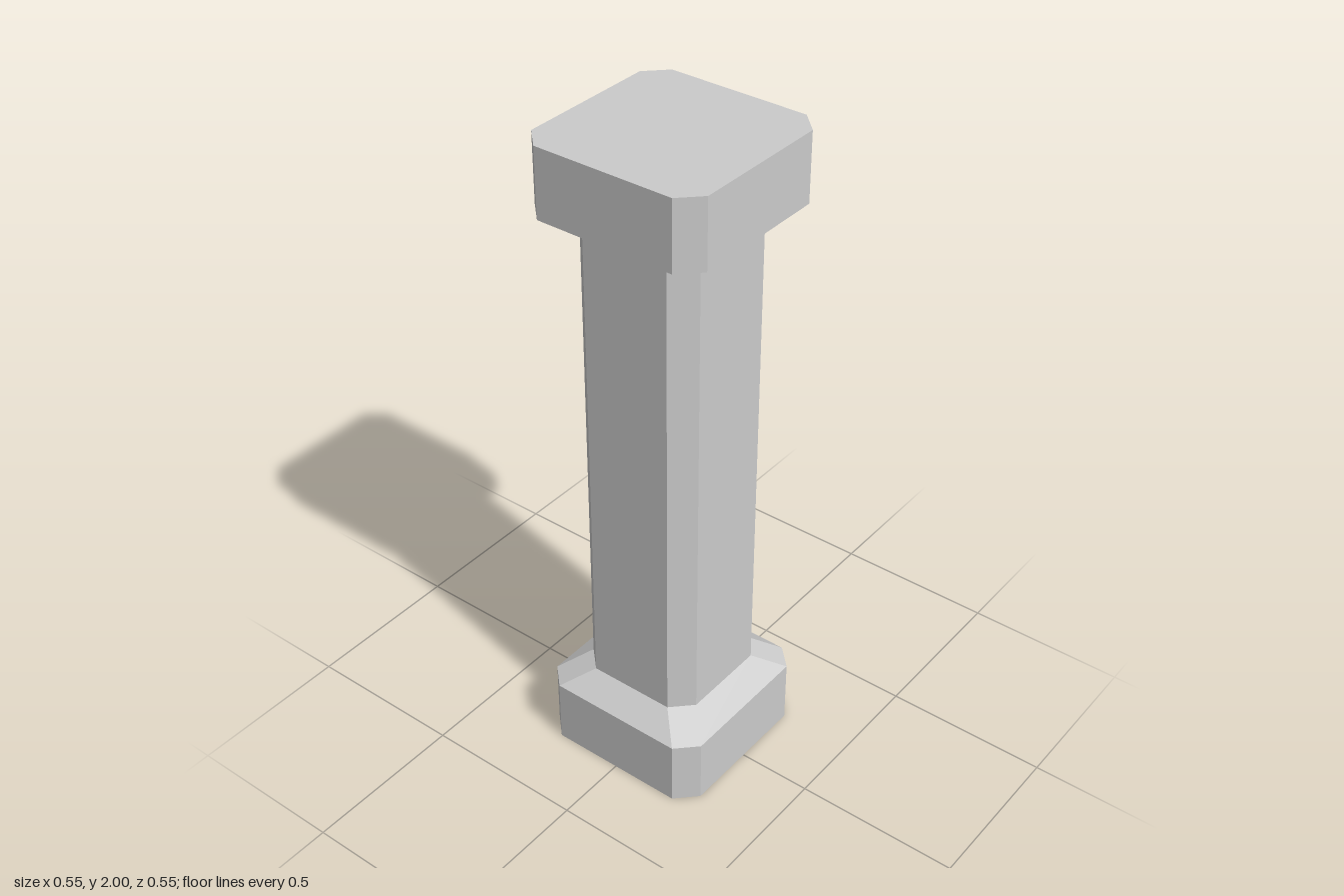
import * as THREE from 'three';

const CHAMFER = 0.06;

// Square outline with cut corners, at half-width h and height y
function ring([h, y]) {
  const f = h - CHAMFER;
  return [[h, f], [f, h], [-f, h], [-h, f], [-h, -f], [-f, -h], [f, -h], [h, -f]]
    .map(([x, z]) => [x, y, z]);
}

// Flat-faced loft through [halfWidth, y] sections, with optional end caps
function loft(name, sections, capBottom, capTop) {
  const rings = sections.map(ring);
  const pos = [];
  const tri = (...pts) => pts.forEach((p) => pos.push(...p));
  for (let s = 0; s < rings.length - 1; s++) {
    const lo = rings[s], hi = rings[s + 1];
    for (let i = 0; i < 8; i++) {
      const j = (i + 1) % 8;
      tri(lo[i], hi[i], lo[j]);
      tri(lo[j], hi[i], hi[j]);
    }
  }
  const first = rings[0], last = rings[rings.length - 1];
  for (let i = 1; i < 7; i++) {
    if (capBottom) tri(first[0], first[i], first[i + 1]);
    if (capTop) tri(last[0], last[i + 1], last[i]);
  }
  const geometry = new THREE.BufferGeometry();
  geometry.setAttribute('position', new THREE.Float32BufferAttribute(pos, 3));
  geometry.computeVertexNormals();
  const material = new THREE.MeshStandardMaterial({ color: 0xcccccc, flatShading: true });
  const mesh = new THREE.Mesh(geometry, material);
  mesh.name = name;
  return mesh;
}

export function createModel() {
  const group = new THREE.Group();
  group.name = 'pillar';
  const wide = 0.274, narrow = 0.195, block = 0.206, slope = 0.264;

  // Block foot sloping in to the shaft
  group.add(loft('base', [[wide, 0], [wide, block], [narrow, slope]], true, false));
  // Straight chamfered shaft
  group.add(loft('shaft', [[narrow, slope], [narrow, 2 - slope]], false, false));
  // Capital mirrors the base
  group.add(loft('capital', [[narrow, 2 - slope], [wide, 2 - block], [wide, 2]], false, true));
  return group;
}
